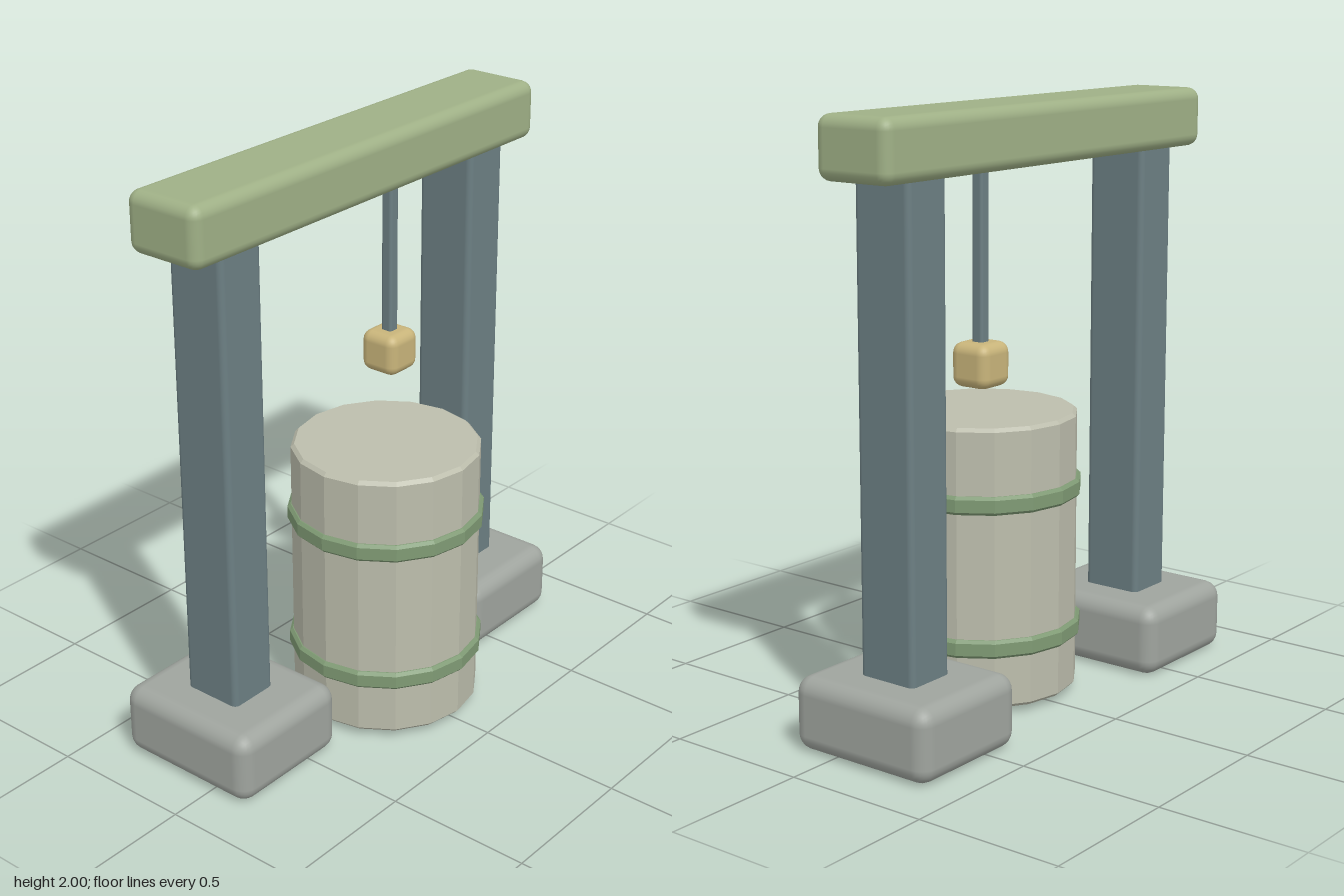
import * as THREE from 'three';
import { RoundedBoxGeometry } from 'three/addons/geometries/RoundedBoxGeometry.js';

const paint = (color, flatShading = false) => new THREE.MeshStandardMaterial({ color, flatShading });

export function createModel() {
  const model = new THREE.Group();
  const frameZ = -0.115;
  const barrelZ = 0.053;

  const stone = paint(0x9fa49e);
  const steel = paint(0x6c7f83);
  const beamGreen = paint(0x9fb086);
  const brass = paint(0xc8b47a);
  const barrelGrey = paint(0xbcbdac, true);
  const bandGreen = paint(0x7f9a74, true);

  // Soft-edged block in the plane of the frame, from its bottom to its top
  function block(name, material, x, bottom, top, width, depth, radius) {
    const geometry = new RoundedBoxGeometry(width, top - bottom, depth, 3, radius);
    const mesh = new THREE.Mesh(geometry, material);
    mesh.name = name;
    mesh.position.set(x, (bottom + top) / 2, frameZ);
    model.add(mesh);
  }

  // Sixteen-sided drum with bevelled rims
  function drum(name, material, bottom, top, radius, bevel) {
    const profile = [
      [0, bottom], [radius - bevel, bottom], [radius, bottom + bevel],
      [radius, top - bevel], [radius - bevel, top], [0, top],
    ].map(([r, y]) => new THREE.Vector2(r, y));
    const mesh = new THREE.Mesh(new THREE.LatheGeometry(profile, 16), material);
    mesh.name = name;
    mesh.position.z = barrelZ;
    model.add(mesh);
  }

  // Gantry: two footed posts and a cross beam
  for (const [side, s] of [['left', 1], ['right', -1]]) {
    block(`${side}Foot`, stone, s * 0.608, 0, 0.245, 0.465, 0.543, 0.055);
    block(`${side}Post`, steel, s * 0.608, 0.2, 1.84, 0.18, 0.215, 0.02);
  }
  block('crossBeam', beamGreen, 0, 1.8, 2, 1.665, 0.285, 0.04);

  // Hanging cord and weight
  block('cord', steel, 0.224, 1.22, 1.84, 0.042, 0.042, 0.01);
  block('weight', brass, 0.224, 1.105, 1.25, 0.145, 0.145, 0.035);

  // Barrel and its two bands
  drum('barrel', barrelGrey, 0.023, 0.97, 0.318, 0.012);
  drum('lowerBand', bandGreen, 0.2, 0.262, 0.332, 0.01);
  drum('upperBand', bandGreen, 0.685, 0.747, 0.332, 0.01);

  return model;
}
